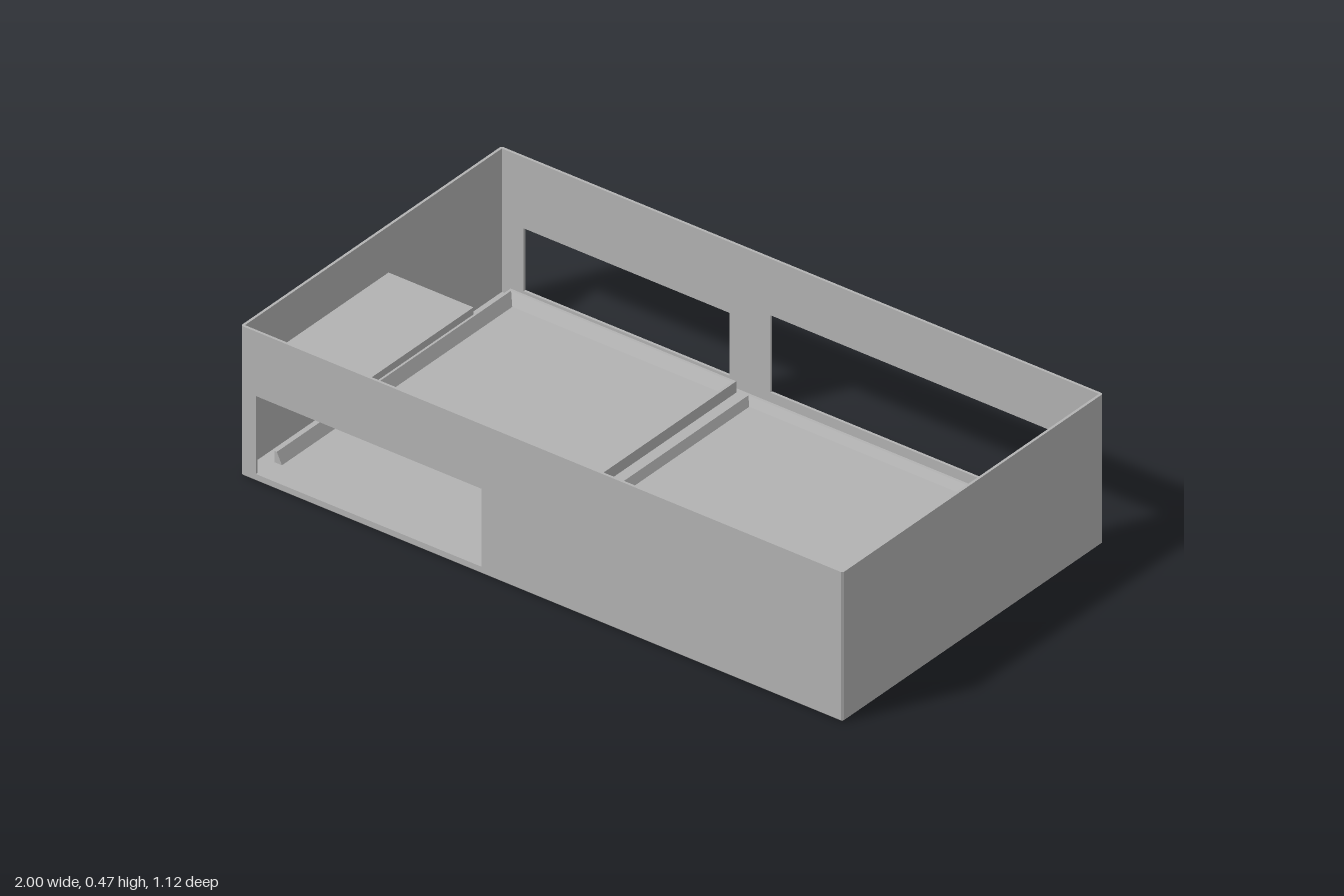
import * as THREE from 'three';
import { ConvexGeometry } from 'three/addons/geometries/ConvexGeometry.js';

const W = 1, D = 0.56, H = 0.465;        // half width, half depth, height
const T = 0.008, C = 0.005, FLOOR = 0.02; // wall thickness, edge chamfer, floor top

export function createModel() {
  const group = new THREE.Group();
  const grey = new THREE.MeshStandardMaterial({ color: 0xb2b2b2 });
  grey.name = 'plain grey';

  const add = (name, geometry) => {
    const mesh = new THREE.Mesh(geometry, grey);
    mesh.name = name;
    group.add(mesh);
    return mesh;
  };
  const box = (name, x0, x1, y0, y1, z0, z1) =>
    add(name, new THREE.BoxGeometry(x1 - x0, y1 - y0, z1 - z0))
      .position.set((x0 + x1) / 2, (y0 + y1) / 2, (z0 + z1) / 2);
  const toShape = pts => new THREE.Shape(pts.map(p => new THREE.Vector2(...p)));
  const extrude = (shape, depth) => new THREE.ExtrudeGeometry(shape, { depth, bevelEnabled: false });

  // Floor slab with chamfered lower edges and corners
  const floorPoints = [];
  for (const sx of [-1, 1]) for (const sz of [-1, 1]) {
    floorPoints.push(new THREE.Vector3(sx * (W - C), 0, sz * (D - C)));
    for (const y of [C, FLOOR]) {
      floorPoints.push(new THREE.Vector3(sx * W, y, sz * (D - C)));
      floorPoints.push(new THREE.Vector3(sx * (W - C), y, sz * D));
    }
  }
  add('floor', new ConvexGeometry(floorPoints));

  // Long walls with rectangular windows [x0, x1, y0, y1]
  const longWall = (name, z, windows) => {
    const a = W - T;
    const shape = toShape([[-a, FLOOR], [a, FLOOR], [a, H], [-a, H]]);
    for (const [x0, x1, y0, y1] of windows) {
      shape.holes.push(new THREE.Path([[x0, y0], [x0, y1], [x1, y1], [x1, y0]]
        .map(p => new THREE.Vector2(...p))));
    }
    add(name, extrude(shape, T)).position.z = z;
  };
  longWall('frontWall', D - T, [[-0.95, -0.2, 0.023, 0.265]]);
  longWall('backWall', -D, [[-0.92, -0.236, 0.05, 0.245], [-0.1, 0.93, 0.05, 0.29]]);

  // Side walls as plan outlines raised between two heights
  const sideWall = (name, side, y0, y1, z0 = -D, z1 = D) => {
    const i = W - T, pts = [[i, z0]];
    if (z0 === -D) pts.push([W - C, z0], [W, z0 + C]); else pts.push([W, z0]);
    if (z1 === D) pts.push([W, z1 - C], [W - C, z1]); else pts.push([W, z1]);
    pts.push([i, z1]);
    // the outline lies in x, -z before it is turned upright
    const geometry = extrude(toShape(pts.map(([x, z]) => [side * x, -z])), y1 - y0);
    geometry.rotateX(-Math.PI / 2).translate(0, y0, 0);
    add(name, geometry);
  };
  sideWall('leftWall', 1, FLOOR, H);
  // The right wall has a narrow slot for a sliding door
  sideWall('rightWallUpper', -1, 0.27, H);
  sideWall('rightWallLower', -1, FLOOR, 0.27, -D, 0.52);
  sideWall('rightWallSlotEdge', -1, FLOOR, 0.27, 0.545, D);

  // Sweep a profile (inward distance, height) along the direction inward x up
  const up = new THREE.Vector3(0, 1, 0);
  const sweep = (name, profile, x, z, ix, iz, length) => {
    const inward = new THREE.Vector3(ix, 0, iz);
    const along = new THREE.Vector3().crossVectors(inward, up);
    const matrix = new THREE.Matrix4().makeBasis(inward, up, along).setPosition(x, 0, z);
    add(name, extrude(toShape(profile), length).applyMatrix4(matrix));
  };

  // Floor rails, sloping inwards, around the two bays
  const rail = [[0, FLOOR], [0.025, FLOOR], [0.008, 0.055], [0, 0.055]];
  sweep('smallBayRightRail', rail, -0.95, -0.53, 1, 0, 1.01);
  sweep('smallBayBackRail', rail, -0.2, -0.535, 0, 1, 0.75);
  sweep('smallBayLeftRail', rail, -0.2, 0.48, -1, 0, 1.01);
  const lowRail = [[0, FLOOR], [0.02, FLOOR], [0.008, 0.045], [0, 0.045]];
  sweep('largeBayRightRail', lowRail, -0.15, -0.52, 1, 0, 0.895);
  sweep('largeBayBackRail', lowRail, 0.93, -0.52, 0, 1, 1.08);
  sweep('largeBayFrontRail', lowRail, -0.15, 0.375, 0, -1, 1.08);
  box('largeBayEndLip', 0.924, 0.93, FLOOR, 0.024, -0.52, 0.375);

  // Door stop beside the front window
  box('doorStop', -0.2, -0.165, FLOOR, 0.05, 0.517, 0.537);

  // Corner shelf
  box('cornerShelf', -W + T, -0.71, 0.3, 0.322, -0.065, D - T);

  // Three wedge brackets on the inside of the front wall
  const bracket = [[0, 0.255], [0.13, 0.31], [0.13, 0.335], [0, 0.335]];
  for (const x of [0.02, 0.36, 0.722]) sweep('wallBracket', bracket, x, D - T, 0, -1, 0.053);

  return group;
}
